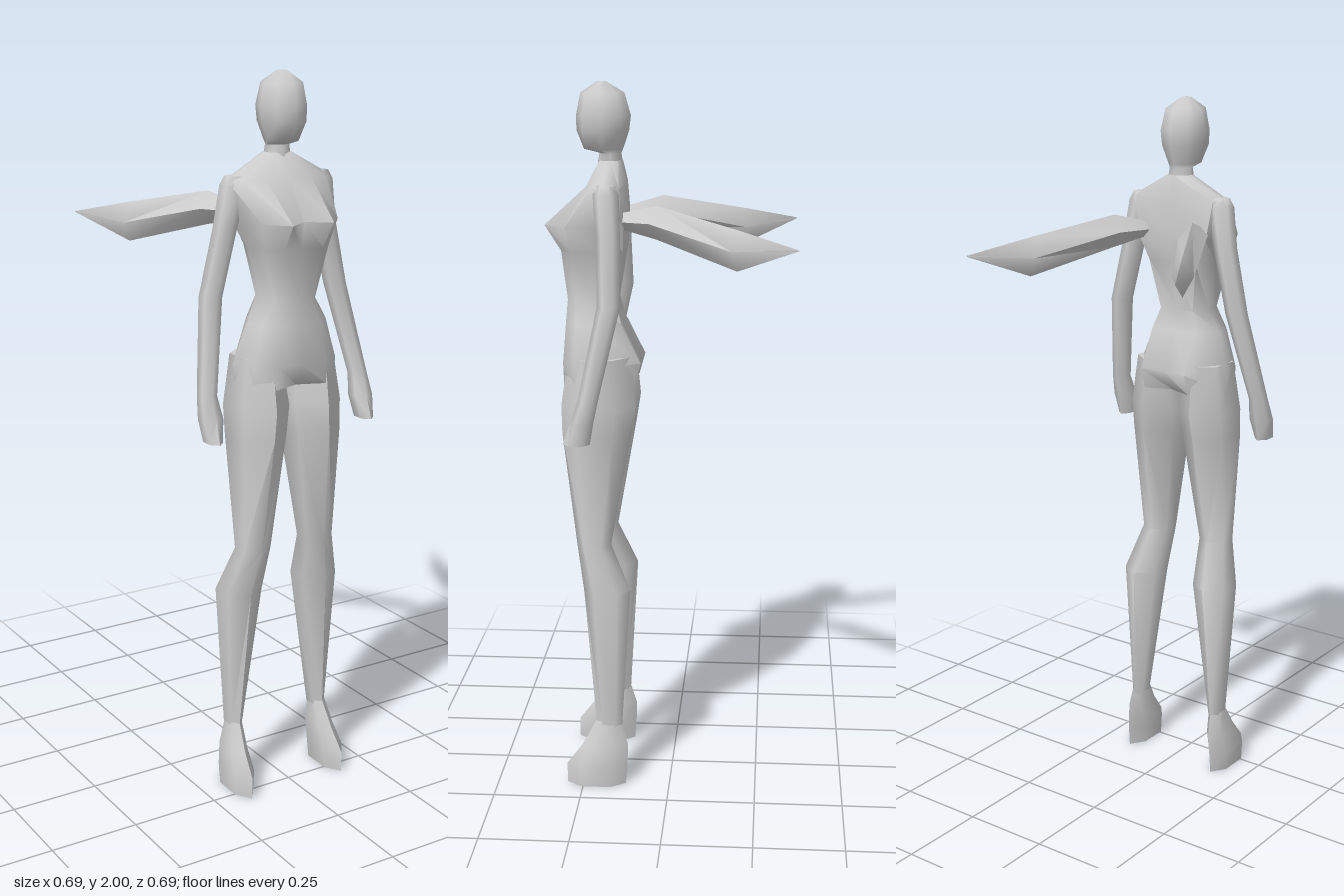
import * as THREE from 'three';
import { toCreasedNormals } from 'three/addons/utils/BufferGeometryUtils.js';

const material = new THREE.MeshStandardMaterial({ color: 0xcccccc });

// Skin a stack of equal-sized rings of [x, y, z] points and close both ends.
function loft(rings, crease = 1.15) {
  const n = rings[0].length;
  const centre = ring => [0, 1, 2].map(k => ring.reduce((s, p) => s + p[k], 0) / n);
  const tris = [];
  for (let i = 0; i < n; i++) {
    const j = (i + 1) % n;
    for (let r = 0; r < rings.length - 1; r++) {
      const a = rings[r], b = rings[r + 1];
      tris.push([a[i], a[j], b[j]], [a[i], b[j], b[i]]);
    }
    const first = rings[0], last = rings[rings.length - 1];
    tris.push([first[j], first[i], centre(first)], [last[i], last[j], centre(last)]);
  }
  // The signed volume tells whether the corners must be reversed.
  const V = p => new THREE.Vector3(...p);
  const origin = V(centre(rings[0]));
  const volume = tris.reduce((s, t) => {
    const [a, b, c] = t.map(p => V(p).sub(origin));
    return s + a.dot(b.cross(c));
  }, 0);
  if (volume < 0) tris.forEach(t => t.reverse());
  const geometry = new THREE.BufferGeometry();
  geometry.setAttribute('position', new THREE.Float32BufferAttribute(tris.flat(2), 3));
  return toCreasedNormals(geometry, crease);
}

// Level ring with a corner at the front, filling the given x and z extents.
function ring([y, x0, x1, z0, z1], sides = 6) {
  const widest = sides === 6 ? Math.sin(Math.PI / 3) : 1;
  return Array.from({ length: sides }, (_, i) => {
    const a = i / sides * Math.PI * 2;
    return [
      (x0 + x1) / 2 + (x1 - x0) / 2 * Math.sin(a) / widest,
      y,
      (z0 + z1) / 2 + (z1 - z0) / 2 * Math.cos(a),
    ];
  });
}

// Symmetric ring from its left half, listed front to back as [x, z].
function mirroredRing([y, ...half]) {
  const left = half.map(([x, z]) => [x, y, z]);
  const right = left.slice(1, -1).reverse().map(([x, , z]) => [-x, y, z]);
  return [...left, ...right];
}

export function createModel() {
  const group = new THREE.Group();
  const add = (name, rings, crease) => {
    const mesh = new THREE.Mesh(loft(rings, crease), material);
    mesh.name = name;
    group.add(mesh);
  };
  const addPair = (name, rings, crease) => {
    add('left' + name, rings, crease);
    add('right' + name, rings.map(r => r.map(([x, y, z]) => [-x, y, z])), crease);
  };

  // Head and neck
  add('head', [
    [1.75, 0.042, 0.13, 0.21],
    [1.81, 0.034, 0.14, 0.2],
    [1.82, 0.042, 0.135, 0.242],
    [1.87, 0.062, 0.118, 0.262],
    [1.91, 0.065, 0.113, 0.263],
    [1.97, 0.054, 0.13, 0.25],
    [2.0, 0.012, 0.18, 0.205],
  ].map(([y, r, z0, z1]) => ring([y, -r, r, z0, z1], 8)));

  // Torso from the neck down to the hips
  add('torso', [
    [1.79, [0, 0.2], [0.025, 0.195], [0.036, 0.18], [0.038, 0.165], [0.03, 0.145], [0, 0.135]],
    [1.725, [0, 0.23], [0.07, 0.23], [0.13, 0.21], [0.16, 0.175], [0.13, 0.135], [0, 0.125]],
    [1.62, [0, 0.3], [0.063, 0.346], [0.117, 0.285], [0.125, 0.19], [0.115, 0.125], [0, 0.118]],
    [1.55, [0, 0.292], [0.06, 0.302], [0.1, 0.27], [0.105, 0.19], [0.08, 0.13], [0, 0.127]],
    [1.41, [0, 0.293], [0.04, 0.288], [0.065, 0.26], [0.074, 0.205], [0.055, 0.152], [0, 0.157]],
    [1.35, [0, 0.296], [0.06, 0.292], [0.1, 0.26], [0.113, 0.205], [0.075, 0.138], [0, 0.145]],
    [1.24, [0, 0.3], [0.075, 0.3], [0.13, 0.265], [0.149, 0.19], [0.075, 0.083], [0, 0.092]],
    [1.18, [0, 0.27], [0.075, 0.298], [0.13, 0.26], [0.147, 0.19], [0.075, 0.1], [0, 0.13]],
  ].map(mirroredRing));

  // Arms with simple closed hands
  addPair('Arm', [
    [1.735, 0.1, 0.155, 0.145, 0.195],
    [1.71, 0.1, 0.167, 0.135, 0.205],
    [1.6, 0.128, 0.184, 0.13, 0.195],
    [1.42, 0.172, 0.226, 0.127, 0.19],
    [1.17, 0.22, 0.266, 0.185, 0.24],
    [1.11, 0.213, 0.272, 0.198, 0.262],
    [1.05, 0.225, 0.264, 0.208, 0.282],
  ].map(r => ring(r)));

  // Legs
  addPair('Leg', [
    [1.26, 0.03, 0.138, 0.11, 0.285],
    [1.12, 0.01, 0.156, 0.097, 0.306],
    [1.04, 0.02, 0.156, 0.11, 0.304],
    [0.72, 0.06, 0.145, 0.168, 0.265],
    [0.59, 0.07, 0.18, 0.112, 0.245],
    [0.17, 0.125, 0.16, 0.138, 0.21],
  ].map(r => ring(r)));

  // Feet, wedge-shaped with a sharp toe
  addPair('Foot', [
    [0.2, 0.125, 0.158, 0.143, 0.208],
    [0.12, 0.122, 0.174, 0.12, 0.252],
    [0.06, 0.12, 0.185, 0.122, 0.298],
    [0, 0.124, 0.182, 0.127, 0.298],
  ].map(r => ring(r)), 0.9);

  // Wings: diamond sections as [x, z, half thickness, top y, bottom y]
  addPair('Wing', [
    [0.09, 0.14, 0.018, 1.655, 1.615],
    [0.132, 0.035, 0.034, 1.682, 1.592],
    [0.255, -0.185, 0.026, 1.635, 1.527],
    [0.343, -0.344, 0.001, 1.597, 1.594],
  ].map(([x, z, t, top, bottom]) => {
    const mid = (top + bottom) / 2;
    return [[x, top, z], [x + t, mid, z + t * 0.5], [x, bottom, z], [x - t, mid, z - t * 0.5]];
  }));

  return group;
}
